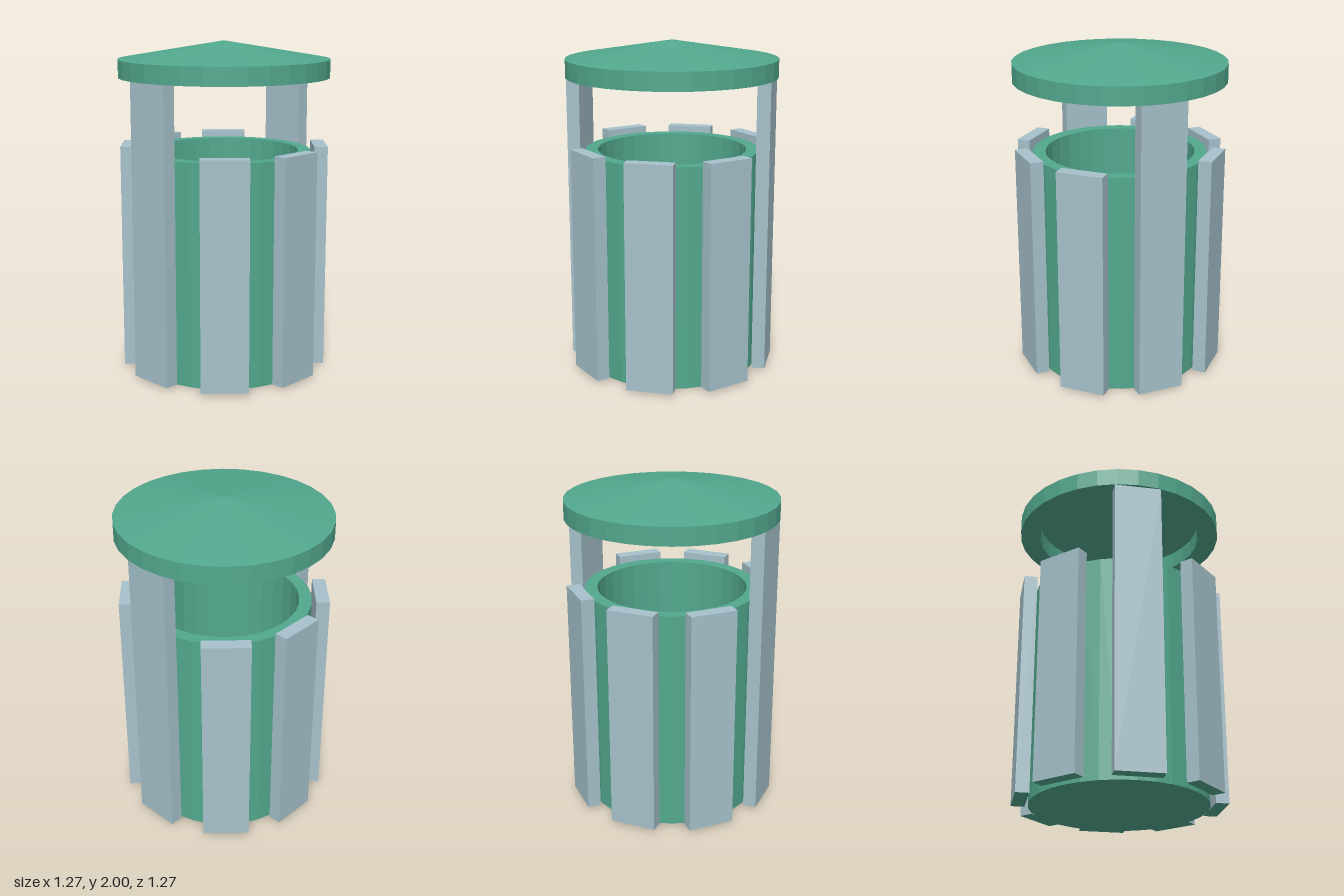
import * as THREE from 'three';

const green = new THREE.MeshStandardMaterial({ color: 0x52a88e, flatShading: true });
const pale = new THREE.MeshStandardMaterial({ color: 0xa6c1cb, flatShading: true });

// Faceted solid turned from a closed [radius, height] outline
function turned(name, outline) {
  const points = outline.map(([r, y]) => new THREE.Vector2(r, y));
  const mesh = new THREE.Mesh(new THREE.LatheGeometry(points, 32), green);
  mesh.name = name;
  return mesh;
}

export function createModel() {
  const group = new THREE.Group();
  group.name = 'litterBin';

  // Open container with a thick wall and a floor
  group.add(turned('container', [
    [0, 0], [0.525, 0], [0.525, 1.345], [0.45, 1.345], [0.45, 0.05], [0, 0.05],
  ]));

  // Conical lid, hollowed underneath inside its rim
  group.add(turned('lid', [
    [0, 1.893], [0.51, 1.893], [0.51, 1.785], [0.636, 1.785], [0.636, 1.893], [0, 2],
  ]));

  // Eight slats around the container; the front and back ones carry the lid
  const base = 0.015;
  const slatMaterials = [pale, pale, pale, green, pale, pale]; // green undersides
  for (let i = 0; i < 8; i++) {
    const isPost = i % 4 === 0;
    const height = (isPost ? 1.787 : 1.38) - base;
    const angle = (i * Math.PI) / 4;
    const slat = new THREE.Mesh(new THREE.BoxGeometry(0.28, height, 0.08), slatMaterials);
    slat.name = isPost ? 'lidPost' : 'slat';
    const radius = i === 4 || i === 6 ? 0.572 : 0.578;
    slat.position.set(Math.sin(angle) * radius, base + height / 2, Math.cos(angle) * radius);
    slat.rotation.y = angle;
    group.add(slat);
  }
  return group;
}
